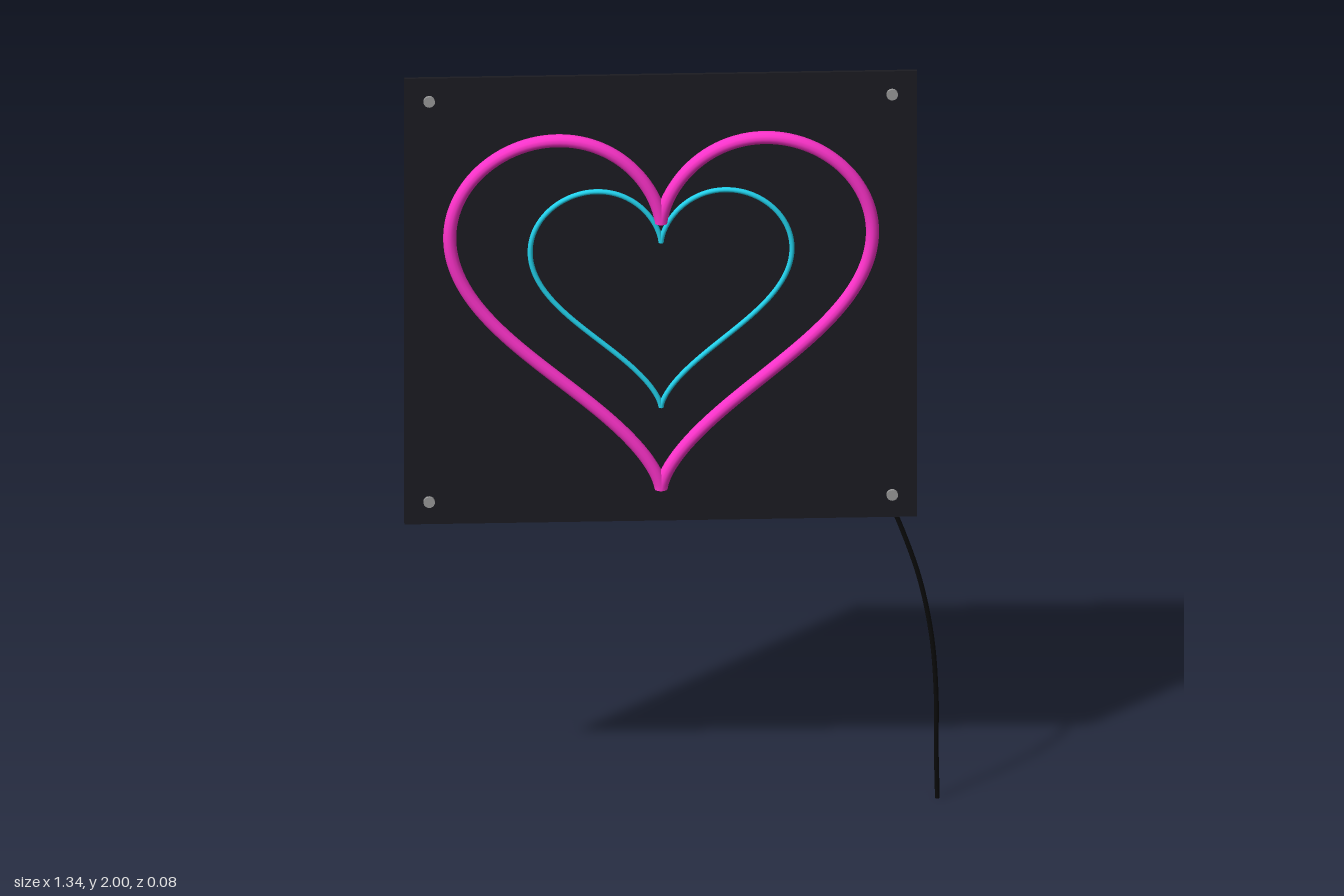
import * as THREE from 'three';

const CX = -0.03; // centre line of the panel; the cable hangs past its left edge
const CY = 1.39;

// Half of a heart outline, from the notch (t = 0) to the bottom tip (t = 1)
class HalfHeart extends THREE.Curve {
  constructor(scale, side) {
    super();
    this.scale = scale;
    this.side = side;
  }
  getPoint(t, target = new THREE.Vector3()) {
    const a = t * Math.PI;
    const x = 16 * Math.sin(a) ** 3;
    const y = 13 * Math.cos(a) - 5 * Math.cos(2 * a) - 2 * Math.cos(3 * a) - Math.cos(4 * a);
    return target.set(this.side * x, y, 0).multiplyScalar(this.scale);
  }
}

function add(parent, name, geometry, material, x = 0, y = 0, z = 0) {
  const mesh = new THREE.Mesh(geometry, material);
  mesh.name = name;
  mesh.position.set(x, y, z);
  parent.add(mesh);
  return mesh;
}

// Glowing tube: two mirrored halves, closed with flat discs at the two cusps
function neonHeart(name, scale, radius, color, y) {
  const heart = new THREE.Group();
  heart.name = name;
  heart.position.set(CX, y, 0.0175);
  const material = new THREE.MeshStandardMaterial({ color });
  for (const side of [-1, 1]) {
    const curve = new HalfHeart(scale, side);
    add(heart, side > 0 ? 'leftHalf' : 'rightHalf', new THREE.TubeGeometry(curve, 100, radius, 12), material);
  }
  for (const [part, cuspY] of [['notchCap', 5], ['tipCap', -17]]) {
    const cap = add(heart, part, new THREE.CircleGeometry(radius, 12), material, 0, cuspY * scale, 0);
    cap.rotation.x = Math.PI / 2;
  }
  return heart;
}

export function createModel() {
  const model = new THREE.Group();
  model.name = 'neonHeartSign';
  const panelMat = new THREE.MeshStandardMaterial({ color: 0x1c1c22 });
  const metalMat = new THREE.MeshStandardMaterial({ color: 0x999999 });
  const cableMat = new THREE.MeshStandardMaterial({ color: 0x0a0a0a });

  // Backing panel
  add(model, 'backPanel', new THREE.BoxGeometry(1.284, 1.22, 0.009), panelMat, CX, CY, -0.015);

  // Standoff bolts through the four corners
  const bolt = new THREE.CylinderGeometry(0.0145, 0.0145, 0.039, 16).rotateX(Math.PI / 2);
  for (const sx of [-1, 1]) {
    for (const sy of [-1, 1]) {
      const name = (sy > 0 ? 'upper' : 'lower') + (sx > 0 ? 'Left' : 'Right') + 'Standoff';
      add(model, name, bolt, metalMat, CX + sx * 0.58, CY + sy * 0.548, -0.022);
    }
  }

  // Hearts
  model.add(neonHeart('outerHeart', 0.0331, 0.0165, 0xff33cc, 1.442));
  model.add(neonHeart('innerHeart', 0.0205, 0.0065, 0x22d3ee, 1.451));

  // Power cable from the lower left corner down to the ground
  const path = new THREE.CatmullRomCurve3([
    [0.537, 0.835, -0.025], [0.575, 0.74, -0.026], [0.62, 0.6, -0.027],
    [0.65, 0.44, -0.028], [0.661, 0.28, -0.029], [0.661, 0.14, -0.03], [0.664, 0, -0.032],
  ].map((p) => new THREE.Vector3(...p)));
  add(model, 'powerCable', new THREE.TubeGeometry(path, 48, 0.006, 8), cableMat);
  for (const [name, t, turn] of [['cableTopEnd', 0, -1], ['cableBottomEnd', 1, 1]]) {
    const p = path.getPoint(t);
    const end = add(model, name, new THREE.CircleGeometry(0.006, 8), cableMat, p.x, p.y, p.z);
    end.quaternion.setFromUnitVectors(new THREE.Vector3(0, 0, 1), path.getTangent(t).multiplyScalar(turn));
  }
  return model;
}
